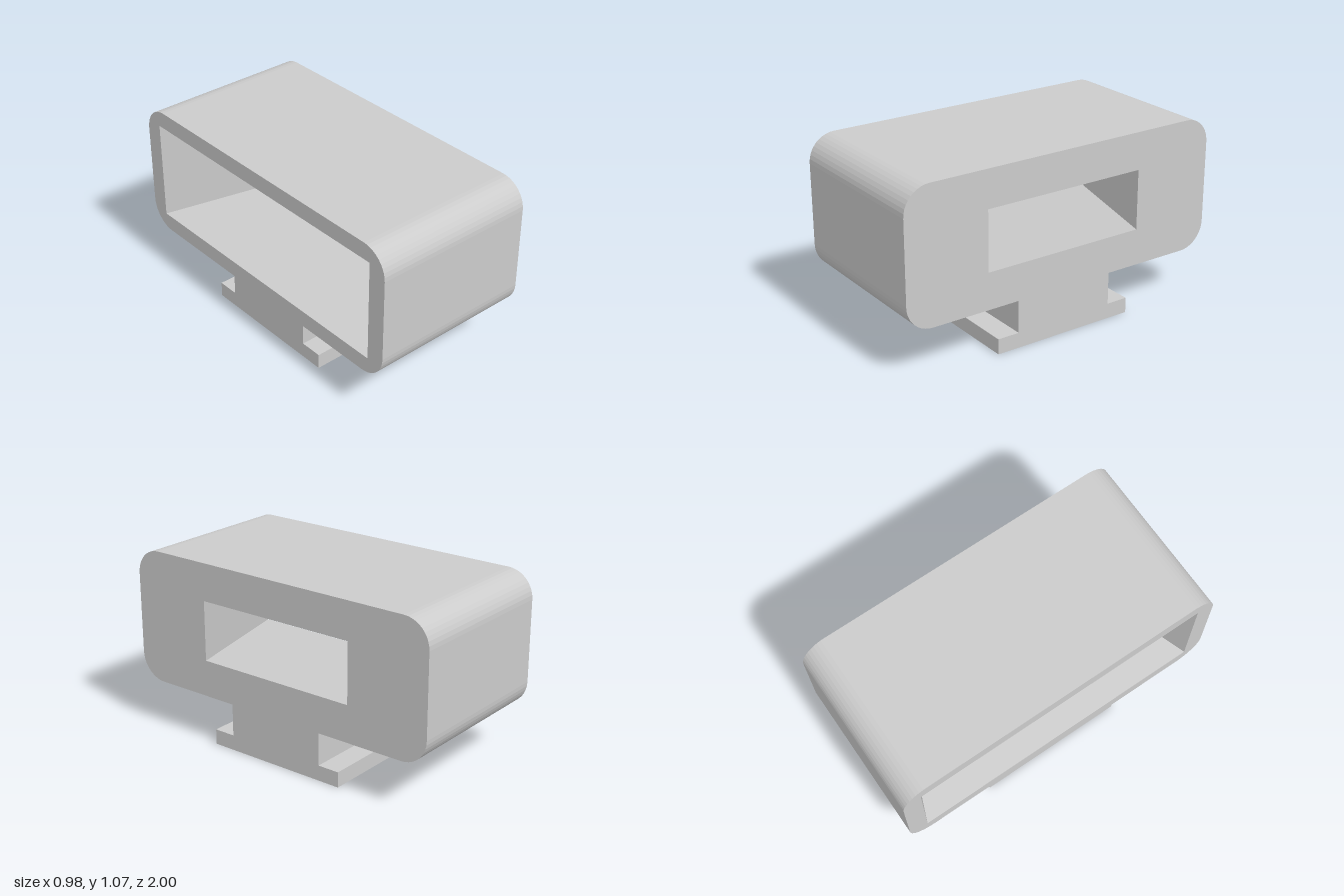
import * as THREE from 'three';

const HALF_X = 0.49;
const MID_Y = 0.675;

// Extrude a (-z, y) profile along x, from x0 to x1.
function extrudeAlongX(shape, x0, x1) {
  const geometry = new THREE.ExtrudeGeometry(shape, {
    depth: x1 - x0, bevelEnabled: false, curveSegments: 5,
  });
  geometry.rotateY(Math.PI / 2);
  geometry.translate(x0, 0, 0);
  return geometry;
}

function roundedRect(halfW, y0, y1, r) {
  const s = new THREE.Shape();
  s.moveTo(-halfW + r, y0);
  s.absarc(halfW - r, y0 + r, r, -Math.PI / 2, 0);
  s.absarc(halfW - r, y1 - r, r, 0, Math.PI / 2);
  s.absarc(-halfW + r, y1 - r, r, Math.PI / 2, Math.PI);
  s.absarc(-halfW + r, y0 + r, r, Math.PI, Math.PI * 1.5);
  return s;
}

// Rounded housing with a wide mouth on -x that funnels down to a small window on +x.
function housingGeometry() {
  const mouth = { w: 0.89, h: 0.298 };
  const win = { w: 0.5, h: 0.177 };
  const shape = roundedRect(1, 0.28, 1.07, 0.155);
  const hole = new THREE.Path();
  hole.moveTo(-mouth.w, MID_Y - mouth.h);
  hole.lineTo(-mouth.w, MID_Y + mouth.h);
  hole.lineTo(mouth.w, MID_Y + mouth.h);
  hole.lineTo(mouth.w, MID_Y - mouth.h);
  hole.closePath();
  shape.holes.push(hole);

  const geometry = extrudeAlongX(shape, -HALF_X, HALF_X);
  // Shrink the opening's corners at the +x end to the window size.
  const p = geometry.attributes.position;
  for (let i = 0; i < p.count; i++) {
    const dy = p.getY(i) - MID_Y;
    const z = p.getZ(i);
    if (p.getX(i) > 0 && Math.abs(z) < mouth.w + 0.005 && Math.abs(dy) < mouth.h + 0.005) {
      p.setY(i, MID_Y - 0.002 + Math.sign(dy) * win.h);
      p.setZ(i, Math.sign(z) * win.w);
    }
  }
  geometry.computeVertexNormals();
  return geometry;
}

// Inverted-T rail under the housing, flush with its +x face.
function railGeometry() {
  const stem = 0.308, flange = 0.44, step = 0.09, top = 0.28;
  const shape = new THREE.Shape([
    [-flange, 0], [flange, 0], [flange, step], [stem, step],
    [stem, top], [-stem, top], [-stem, step], [-flange, step],
  ].map(([u, v]) => new THREE.Vector2(u, v)));
  return extrudeAlongX(shape, -0.435, HALF_X);
}

export function createModel() {
  const group = new THREE.Group();
  group.name = 'railMountedHousing';
  const material = new THREE.MeshStandardMaterial({ color: 0xcccccc, flatShading: true });
  const parts = { housing: housingGeometry(), mountingRail: railGeometry() };
  for (const [name, geometry] of Object.entries(parts)) {
    const mesh = new THREE.Mesh(geometry, material);
    mesh.name = name;
    group.add(mesh);
  }
  return group;
}
